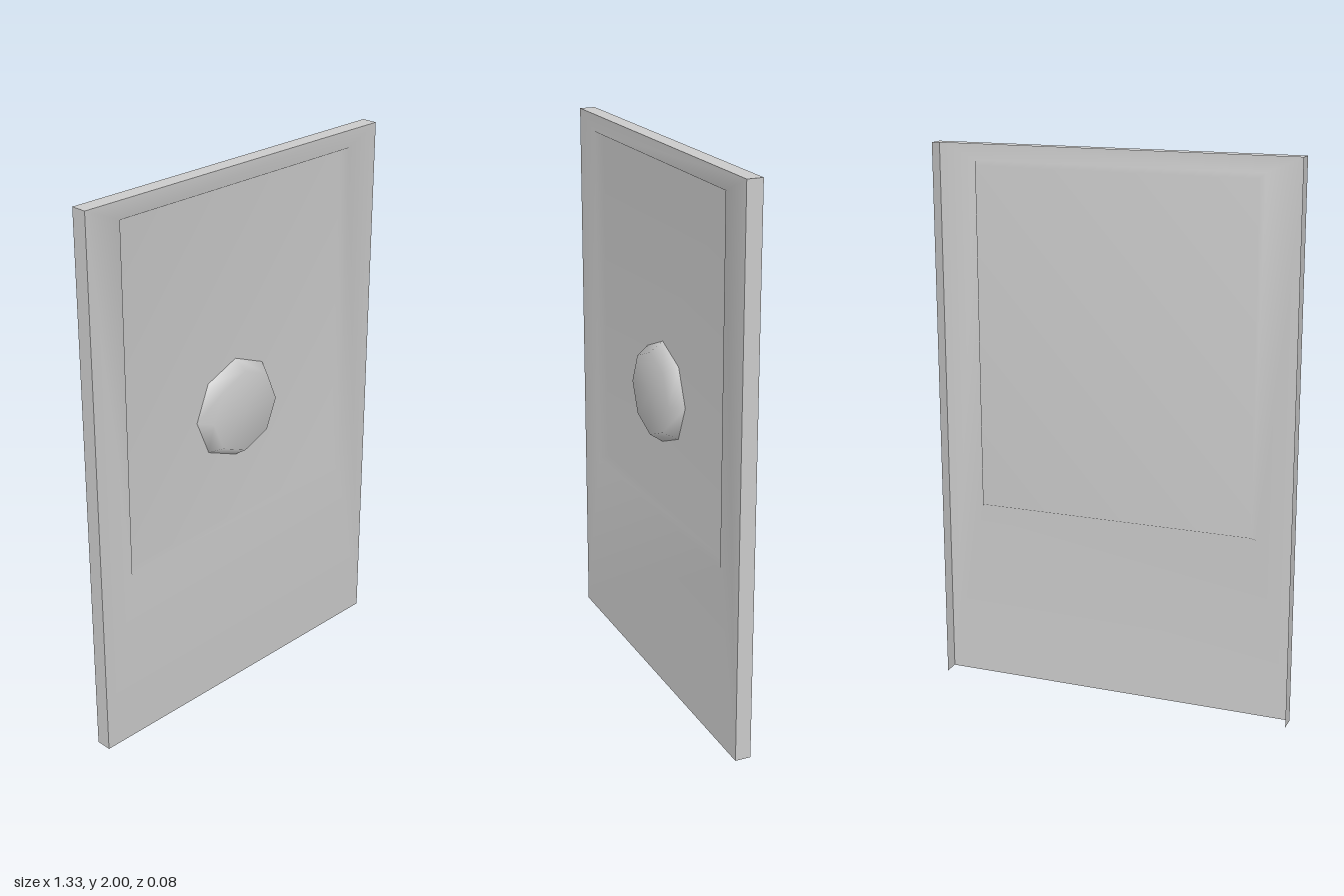
import * as THREE from 'three';

const FRONT = 0.019, BACK = -0.038, FLOOR = -0.011;
const HALF_W = 0.666, HEIGHT = 2;

const material = new THREE.MeshStandardMaterial({ color: 0xcccccc, side: THREE.DoubleSide });

// Counter-clockwise rectangle of corners, seen from the front
const ring = (x, y0, y1, z) => [[-x, y0, z], [x, y0, z], [x, y1, z], [-x, y1, z]];

// Thin sheet pressed into a shallow recess: border, sloped wall, floor
function pressedSheet() {
  const rings = [
    ring(HALF_W, 0, HEIGHT, FRONT),
    ring(0.529, 0.663, 1.938, FRONT),
    ring(0.514, 0.68, 1.922, FLOOR),
  ];
  const index = [];
  for (let r = 0; r < rings.length - 1; r++) {
    for (let i = 0; i < 4; i++) {
      const a = r * 4 + i, b = r * 4 + (i + 1) % 4;
      index.push(a, b, b + 4, a, b + 4, a + 4);
    }
  }
  index.push(8, 9, 10, 8, 10, 11);
  const geometry = new THREE.BufferGeometry();
  geometry.setAttribute('position', new THREE.Float32BufferAttribute(rings.flat(2), 3));
  geometry.setIndex(index);
  geometry.computeVertexNormals();
  return geometry;
}

export function createModel() {
  const group = new THREE.Group();
  const add = (name, geometry) => {
    const mesh = new THREE.Mesh(geometry, material);
    mesh.name = name;
    group.add(mesh);
    return mesh;
  };

  add('frontPanel', pressedSheet());

  // Folded flanges on the sides and top; back and bottom stay open
  const depth = FRONT - BACK, midZ = (FRONT + BACK) / 2;
  for (const side of [-1, 1]) {
    const flange = add(side > 0 ? 'leftFlange' : 'rightFlange', new THREE.PlaneGeometry(depth, HEIGHT));
    flange.rotation.y = side * Math.PI / 2;
    flange.position.set(side * HALF_W, HEIGHT / 2, midZ);
  }
  const top = add('topFlange', new THREE.PlaneGeometry(HALF_W * 2, depth));
  top.rotation.x = -Math.PI / 2;
  top.position.set(0, HEIGHT, midZ);

  // Eight-sided tapered knob standing on the recess floor
  const profile = [[0.187, FLOOR], [0.153, 0.038], [0, 0.038]].map(([r, z]) => new THREE.Vector2(r, z));
  const knob = add('knob', new THREE.LatheGeometry(profile, 8).rotateX(Math.PI / 2));
  knob.position.y = 1.11;

  return group;
}
